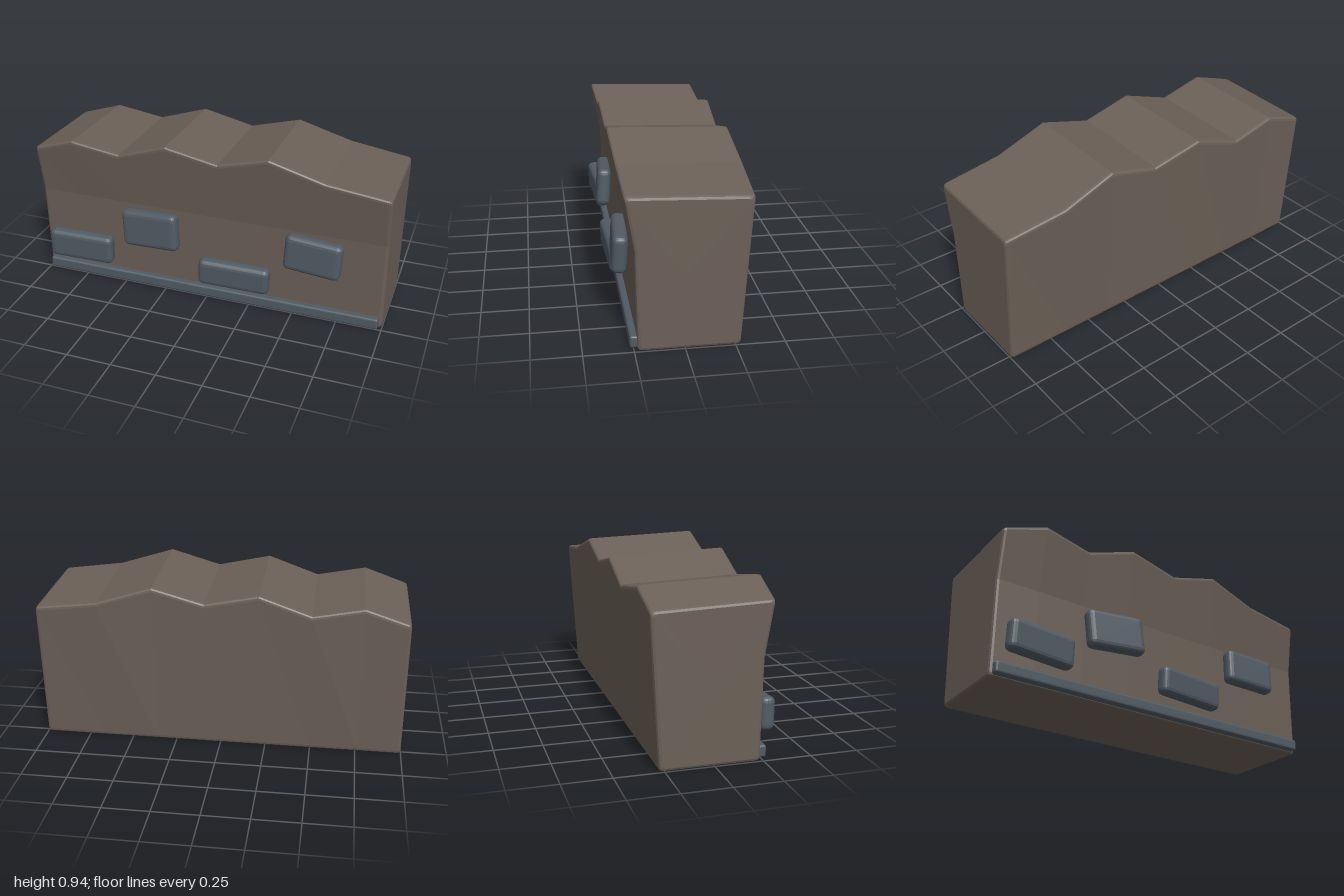
import * as THREE from 'three';
import { RoundedBoxGeometry } from 'three/addons/geometries/RoundedBoxGeometry.js';

const earth = new THREE.MeshStandardMaterial({ color: 0x6b6057, flatShading: true });
const stone = new THREE.MeshStandardMaterial({ color: 0x505a63, flatShading: true });

// Stations along the wall: x, front top height, front top z, back top z
const STATIONS = [
  [-1, 0.805, 0.294, -0.322], [-0.76, 0.878, 0.313, -0.322], [-0.49, 0.83, 0.297, -0.337],
  [-0.21, 0.925, 0.312, -0.33], [0.08, 0.863, 0.303, -0.322], [0.36, 0.94, 0.315, -0.322],
  [0.66, 0.848, 0.301, -0.337], [1, 0.805, 0.294, -0.324],
];
const BEVEL = 0.02;

// Cross-section (z, y) with rounded corners; inset shrinks it for the end bevels
function section(yTop, zFront, zBack, inset) {
  const corners = [
    [-0.277 + inset, inset], [0.234 - inset, inset], [0.246 - inset, 0.52],
    [zFront - inset, yTop - inset], [zBack + inset, yTop - 0.022 - inset],
  ].map(([z, y]) => new THREE.Vector2(z, y));
  const ring = [];
  corners.forEach((c, i) => {
    if (i === 2) return ring.push(c); // plain crease in the front face
    const toward = (p) => p.clone().sub(c).setLength(BEVEL).add(c);
    const curve = new THREE.QuadraticBezierCurve(toward(corners[(i + 4) % 5]), c, toward(corners[(i + 1) % 5]));
    ring.push(...curve.getPoints(3));
  });
  return ring;
}

function wallGeometry() {
  const rings = [];
  const add = (x, [, y, f, b], inset) => rings.push(section(y, f, b, inset).map((p) => [x, p.y, p.x]));
  // Quarter-round bevel at each end
  const bevel = [[0, 0.016], [0.005, 0.005], [0.016, 0]];
  const last = STATIONS[STATIONS.length - 1];
  bevel.forEach(([dx, inset]) => add(-1 + dx, STATIONS[0], inset));
  STATIONS.slice(1, -1).forEach((s) => add(s[0], s, 0));
  bevel.reverse().forEach(([dx, inset]) => add(1 - dx, last, inset));

  const n = rings[0].length;
  const pos = [];
  const tri = (...pts) => pts.forEach((p) => pos.push(...p));
  for (let i = 0; i < rings.length - 1; i++) {
    for (let j = 0; j < n; j++) {
      const k = (j + 1) % n;
      const [a, b, c, d] = [rings[i][j], rings[i][k], rings[i + 1][j], rings[i + 1][k]];
      tri(a, c, b);
      tri(b, c, d);
    }
  }
  // End caps
  const first = rings[0], end = rings[rings.length - 1];
  for (let j = 0; j < n; j++) {
    const k = (j + 1) % n;
    tri([-1, 0.4, 0], first[j], first[k]);
    tri([1, 0.4, 0], end[k], end[j]);
  }
  const geo = new THREE.BufferGeometry();
  geo.setAttribute('position', new THREE.Float32BufferAttribute(pos, 3));
  geo.computeVertexNormals();
  return geo;
}

export function createModel() {
  const group = new THREE.Group();
  const add = (name, geo, mat, position, rotation = [0, 0, 0]) => {
    const mesh = new THREE.Mesh(geo, mat);
    mesh.name = name;
    mesh.position.set(...position);
    mesh.rotation.set(...rotation);
    group.add(mesh);
  };

  add('wallBody', wallGeometry(), earth, [0, 0, 0]);

  // Stones set into the front: x, y, width, height, tilt about x, y and z
  const stones = [
    [-0.755, 0.21, 0.38, 0.172, 0.03, 0.07, -0.03],
    [-0.317, 0.397, 0.333, 0.215, -0.06, -0.07, 0.07],
    [0.173, 0.197, 0.402, 0.157, 0.04, 0.05, -0.03],
    [0.613, 0.408, 0.315, 0.203, -0.06, -0.06, -0.05],
  ];
  stones.forEach(([x, y, w, h, rx, ry, rz], i) =>
    add('stone' + (i + 1), new RoundedBoxGeometry(w, h, 0.078, 2, 0.03), stone, [x, y, 0.283], [rx, ry, rz]));

  // Kerb along the foot of the front
  add('footKerb', new RoundedBoxGeometry(1.965, 0.063, 0.06, 2, 0.012), stone, [-0.001, 0.043, 0.241]);
  return group;
}
